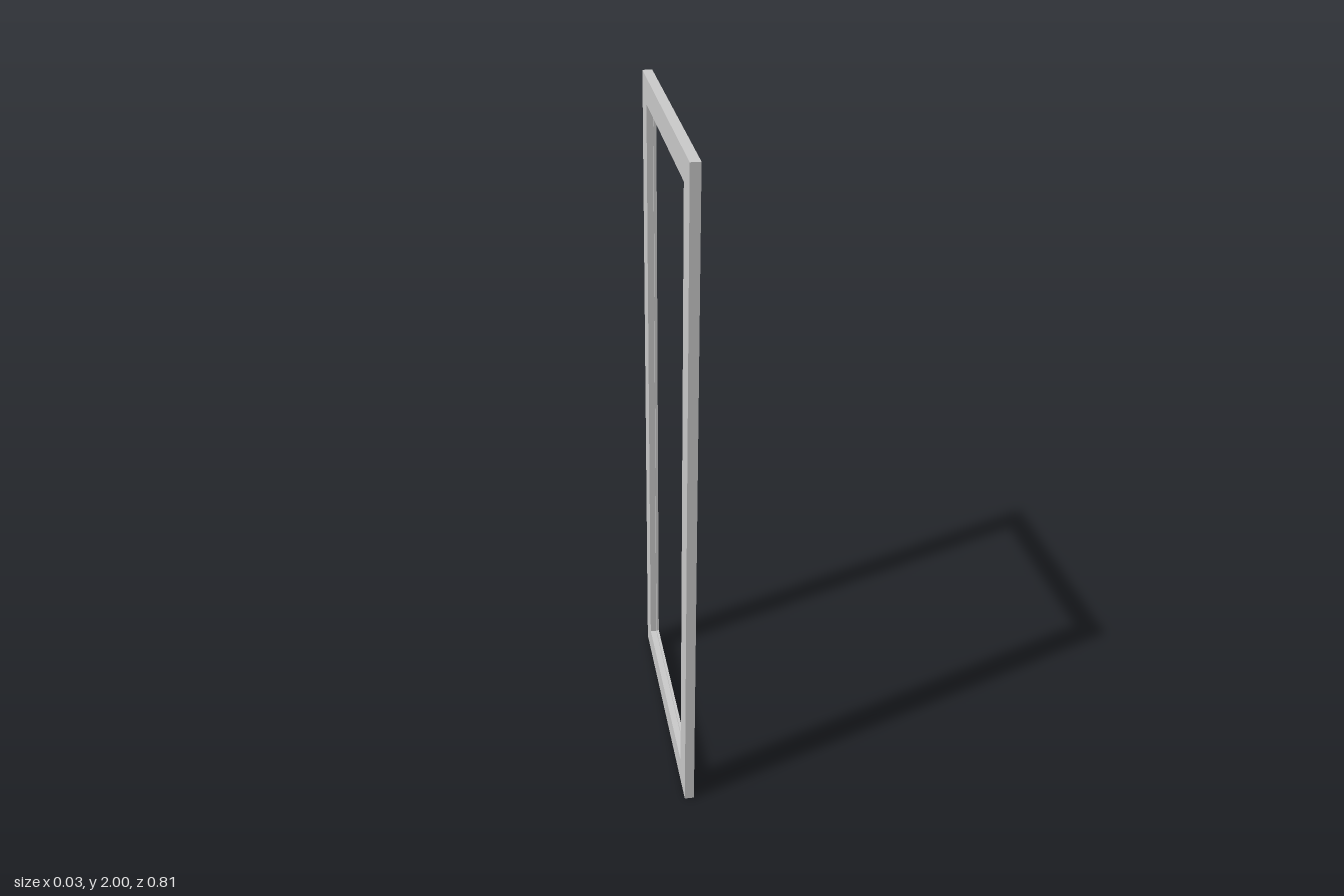
import * as THREE from 'three';

const HALF = 0.014; // half of the frame's thickness

// Corners of the outer edge and of the opening, as [z, y], in matching order
const outer = [[-0.405, 0], [0.405, 0], [0.405, 2], [-0.405, 2]];
const inner = [[-0.327, 0.08], [0.322, 0.08], [0.322, 1.925], [-0.327, 1.925]];

// Rail cross-section as [x, t]: t runs from the outer edge (0) to the opening (1),
// with a shallow glazing groove along the inside
const section = [
  [-HALF, 0], [HALF, 0], [HALF, 1], [0.006, 1],
  [0.006, 0.9], [-0.006, 0.9], [-0.006, 1], [-HALF, 1],
];

function cornerPoint(corner, [x, t]) {
  const [z0, y0] = outer[corner];
  const [z1, y1] = inner[corner];
  return [x, y0 + (y1 - y0) * t, z0 + (z1 - z0) * t];
}

// One straight rail, mitred at both corners
function makeRail(from, to, name, material) {
  const positions = [];
  section.forEach((p, i) => {
    const q = section[(i + 1) % section.length];
    const a = cornerPoint(from, p), b = cornerPoint(from, q);
    const c = cornerPoint(to, q), d = cornerPoint(to, p);
    positions.push(...a, ...b, ...c, ...a, ...c, ...d);
  });
  const geometry = new THREE.BufferGeometry();
  geometry.setAttribute('position', new THREE.Float32BufferAttribute(positions, 3));
  geometry.computeVertexNormals();
  const rail = new THREE.Mesh(geometry, material);
  rail.name = name;
  return rail;
}

export function createModel() {
  const model = new THREE.Group();
  model.name = 'doorFrame';
  const material = new THREE.MeshStandardMaterial({ color: 0xcccccc, flatShading: true });
  ['bottomRail', 'frontStile', 'topRail', 'backStile'].forEach((name, i) => {
    model.add(makeRail(i, (i + 1) % 4, name, material));
  });
  return model;
}
